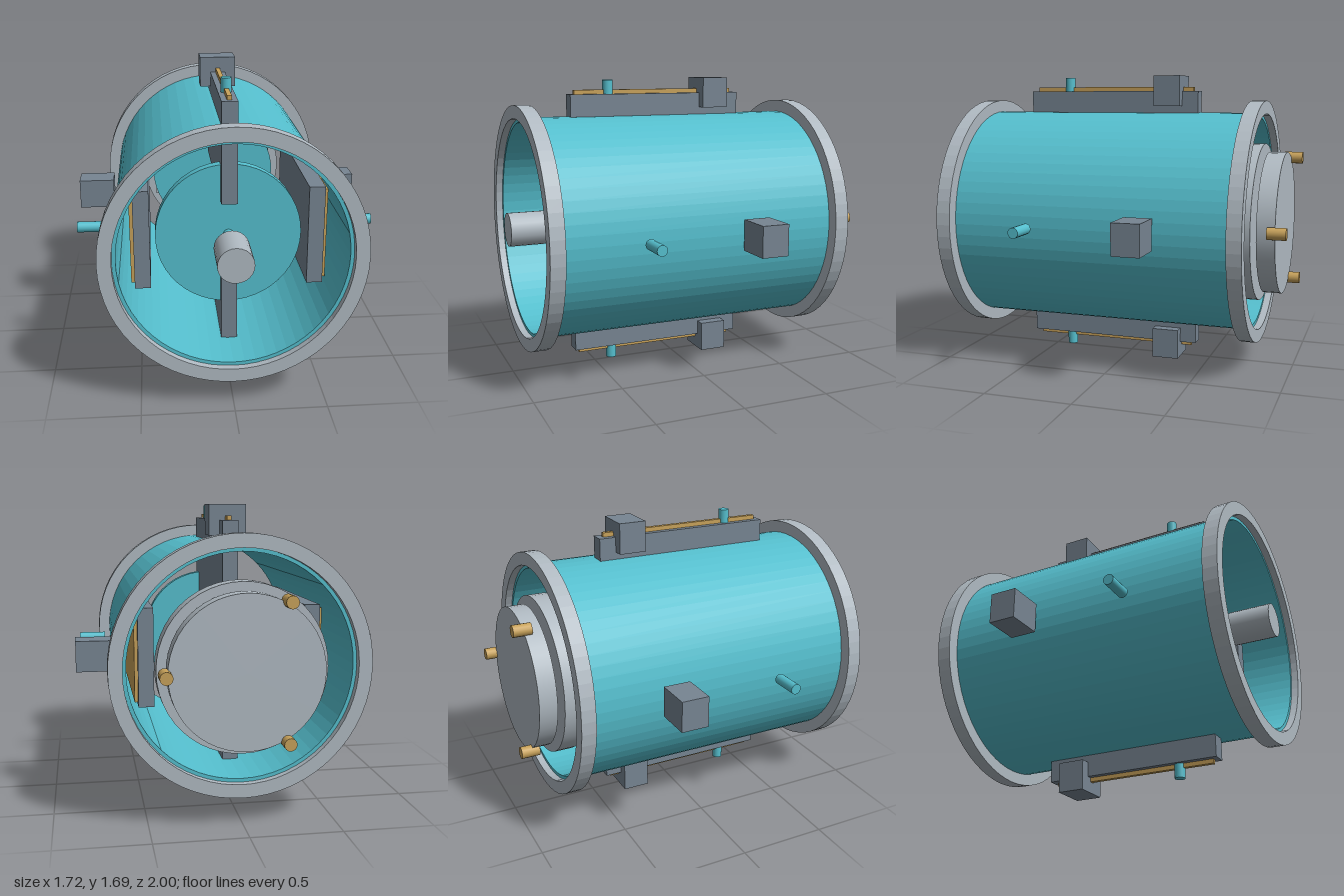
import * as THREE from 'three';

const mat = (name, color) => {
  const m = new THREE.MeshStandardMaterial({ color });
  m.name = name;
  return m;
};

const CY = 0.846; // height of the tube axis

export function createModel() {
  const teal = mat('teal', 0x55bfce);
  const grey = mat('lightGrey', 0xb0bac2);
  const slate = mat('slate', 0x778592);
  const gold = mat('gold', 0xc8a25a);

  const model = new THREE.Group();
  model.name = 'opticalTube';
  const body = new THREE.Group();
  body.name = 'body';
  body.position.y = CY;
  model.add(body);

  const add = (name, geometry, material, x = 0, y = 0, z = 0) => {
    const mesh = new THREE.Mesh(geometry, material);
    mesh.name = name;
    mesh.position.set(x, y, z);
    body.add(mesh);
    return mesh;
  };

  // Hollow ring along z with faceted sides
  const pipe = (name, material, inner, outer, z0, z1) => {
    const profile = [[outer, z0], [outer, z1], [inner, z1], [inner, z0], [outer, z0]]
      .map(([r, z]) => new THREE.Vector2(r, z));
    const geometry = new THREE.LatheGeometry(profile, 64).toNonIndexed();
    geometry.computeVertexNormals();
    geometry.rotateX(Math.PI / 2);
    return add(name, geometry, material);
  };

  // Solid cylinder along z
  const disc = (name, material, r, z0, z1, x = 0, y = 0, sides = 48) => {
    const geometry = new THREE.CylinderGeometry(r, r, z1 - z0, sides);
    geometry.rotateX(Math.PI / 2);
    return add(name, geometry, material, x, y, (z0 + z1) / 2);
  };

  // Main tube and end rings
  pipe('tube', teal, 0.605, 0.63, -0.77, 0.9);
  pipe('frontRing', grey, 0.625, 0.7, 0.857, 0.94);
  pipe('rearRing', grey, 0.625, 0.7, -0.812, -0.73);

  // Front plate with central stub and shaft
  disc('frontPlate', teal, 0.402, 0.51, 0.57);
  disc('centreShaft', teal, 0.03, 0.55, 0.77, 0, 0, 16);
  disc('centreStub', grey, 0.096, 0.76, 1.0, 0, 0, 24);

  // Rear mirror, its support cross, cell and back plate
  disc('rearMirror', teal, 0.4, -0.65, -0.59);
  add('supportUpright', new THREE.BoxGeometry(0.385, 0.73, 0.06), grey, 0, 0, -0.68);
  add('supportCrossbar', new THREE.BoxGeometry(0.77, 0.345, 0.06), grey, 0, 0, -0.68);
  disc('mirrorCell', grey, 0.455, -0.81, -0.7);
  disc('backPlate', grey, 0.408, -0.936, -0.834);

  // Three adjusting knobs
  for (let i = 0; i < 3; i++) {
    const a = (i * Math.PI * 2) / 3;
    disc('adjustingKnob', gold, 0.034, -1.0, -0.895, 0.42 * Math.cos(a), 0.42 * Math.sin(a), 16);
  }

  // Rails, strips, blocks and pins on four sides
  const railGeo = new THREE.BoxGeometry(0.088, 0.56, 1.05);
  const stripGeo = new THREE.BoxGeometry(0.025, 0.515, 0.985);
  const blockGeo = new THREE.BoxGeometry(0.21, 0.175, 0.157);
  const pinGeo = new THREE.CylinderGeometry(0.03, 0.03, 0.16, 16);
  for (const [x, y] of [[1, 0], [-1, 0], [0, 1], [0, -1]]) {
    add('rail', railGeo, slate, x * 0.475, y * 0.475, 0.105);
    add('railStrip', stripGeo, gold, x * 0.526, y * 0.522, 0.107);
    add('block', blockGeo, slate, x * 0.755, y * 0.757, -0.246);
    const pin = add('pin', pinGeo, teal, x * 0.755, y * 0.755, 0.395);
    if (x) pin.rotation.z = Math.PI / 2;
  }

  return model;
}
